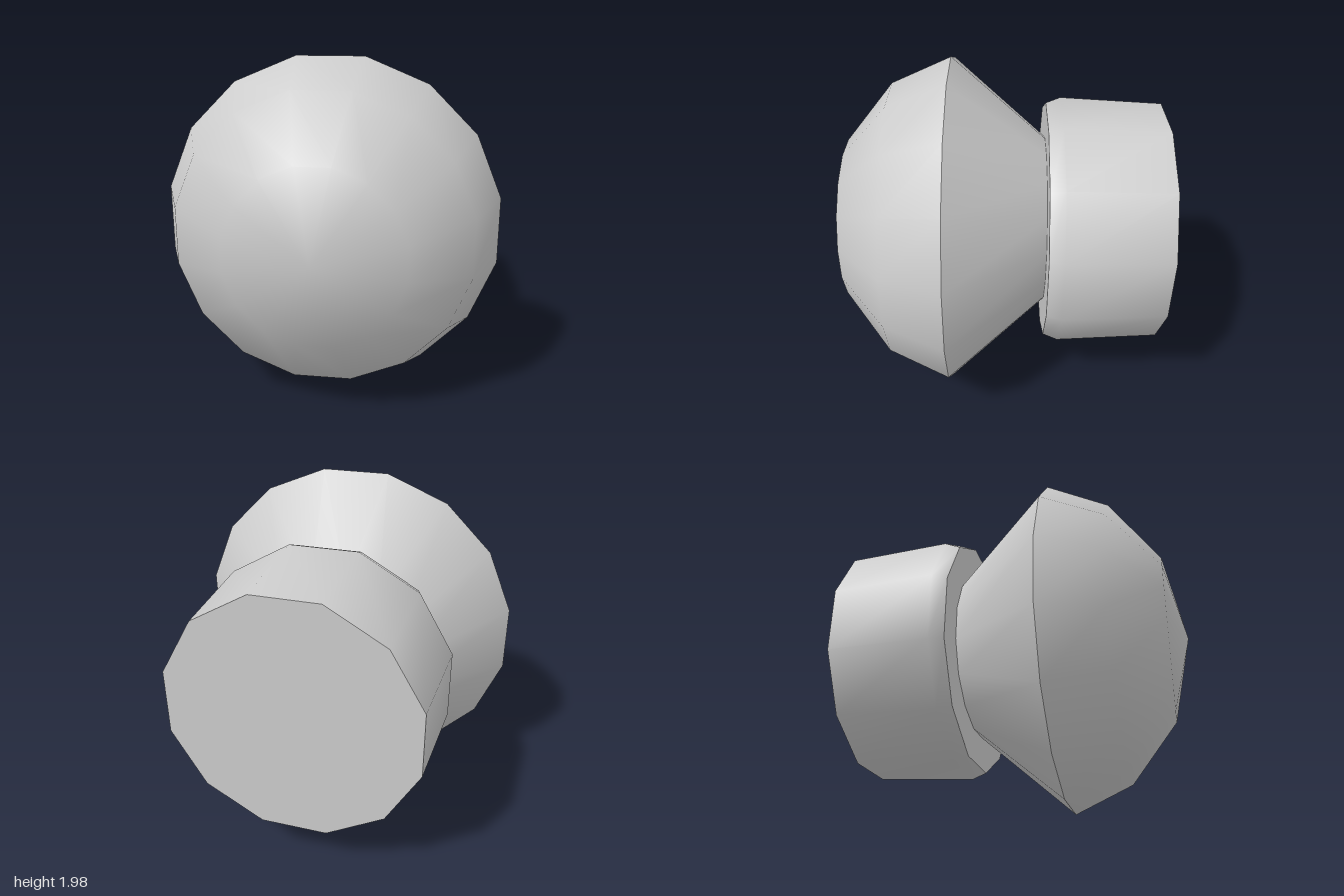
import * as THREE from 'three';
import { mergeVertices } from 'three/addons/utils/BufferGeometryUtils.js';

const AXIS_HEIGHT = 0.99;

// Smooth band turned about the z axis; profile is [radius to flat side, z] from back to front.
function turned(name, profile, sides, material) {
  const k = 1 / Math.cos(Math.PI / sides);
  const points = profile.map(([r, z]) => new THREE.Vector2(r * k, z));
  let geometry = new THREE.LatheGeometry(points, sides, Math.PI / sides);
  geometry.deleteAttribute('uv');
  geometry.deleteAttribute('normal');
  geometry = mergeVertices(geometry, 1e-4);
  geometry.computeVertexNormals();
  geometry.rotateX(Math.PI / 2);
  const mesh = new THREE.Mesh(geometry, material);
  mesh.name = name;
  return mesh;
}

export function createModel() {
  const grey = new THREE.MeshStandardMaterial({ color: 0xcccccc });
  grey.name = 'light grey';

  // Domed head with a conical back, creased at the rim
  const head = new THREE.Group();
  head.name = 'knobHead';
  head.add(
    turned('headDome', [[0.99, 0.25], [0.838, 0.6], [0.494, 0.885], [0, 1]], 16, grey),
    turned('headCone', [[0.51, -0.31], [0.99, 0.25]], 16, grey),
  );

  // Tapered stem with a small chamfer and flat ends
  const stem = new THREE.Group();
  stem.name = 'stem';
  stem.add(
    turned('stemBack', [[0, -1], [0.705, -1]], 12, grey),
    turned('stemSide', [[0.705, -1], [0.737, -0.395], [0.705, -0.31]], 12, grey),
    turned('stemShoulder', [[0.705, -0.31], [0.45, -0.31]], 12, grey),
  );

  const model = new THREE.Group();
  model.name = 'knob';
  model.add(head, stem);
  model.children.forEach((part) => { part.position.y = AXIS_HEIGHT; });
  return model;
}
